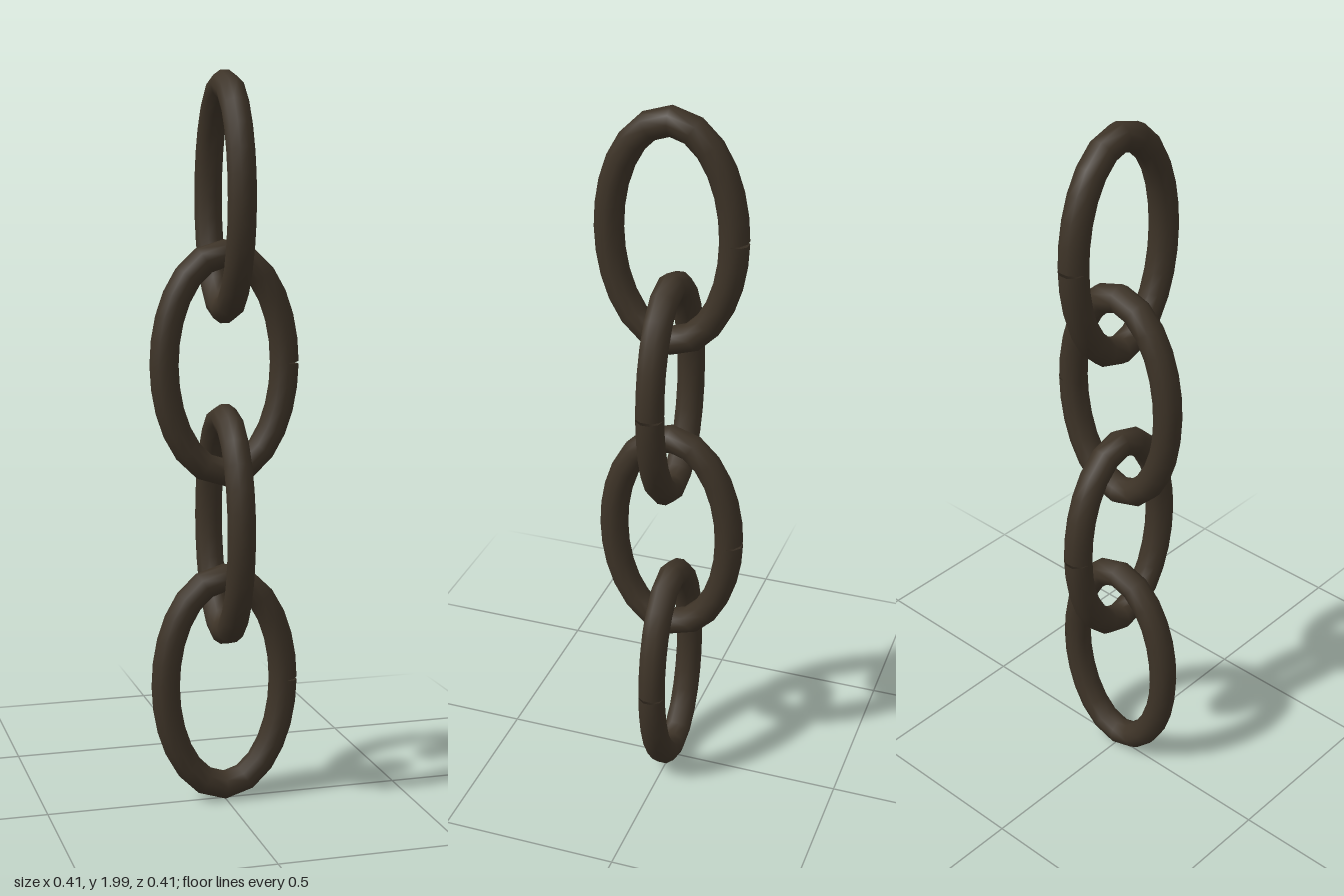
import * as THREE from 'three';

const HALF_WIDTH = 0.207, HALF_HEIGHT = 0.335, WIRE = 0.039;
const LINKS = 4, FIRST_Y = 0.337, SPACING = 0.4425;

// Centre line of one oval link, starting and ending at the weld on its +x side
class OvalCurve extends THREE.Curve {
  getPoint(t, target = new THREE.Vector3()) {
    const a = t * Math.PI * 2;
    return target.set(
      (HALF_WIDTH - WIRE) * Math.cos(a),
      (HALF_HEIGHT - WIRE) * Math.sin(a),
      0
    );
  }
}

function linkGeometry() {
  const steps = 24, sides = 10;
  const geometry = new THREE.TubeGeometry(new OvalCurve(), steps, WIRE, sides, false);
  const pos = geometry.attributes.position;
  // Open a small wedge on the outer edge where the two wire ends meet
  for (const [ring, dir] of [[0, 1], [steps, -1]]) {
    for (let j = 0; j <= sides; j++) {
      const i = ring * (sides + 1) + j;
      const outward = Math.max(0, pos.getX(i) - (HALF_WIDTH - WIRE)) / WIRE;
      pos.setY(i, dir * 0.004 * outward);
    }
  }
  return geometry;
}

export function createModel() {
  const group = new THREE.Group();
  group.name = 'chain';
  const iron = new THREE.MeshStandardMaterial({ color: 0x3d3327, side: THREE.DoubleSide });
  iron.name = 'dark iron';

  // Interlocked links, every second one turned a quarter round
  const geometry = linkGeometry();
  for (let i = 0; i < LINKS; i++) {
    const link = new THREE.Mesh(geometry, iron);
    link.name = `chainLink${i + 1}`;
    link.position.y = FIRST_Y + i * SPACING;
    link.rotation.y = i % 2 ? Math.PI / 2 : 0;
    group.add(link);
  }
  return group;
}
